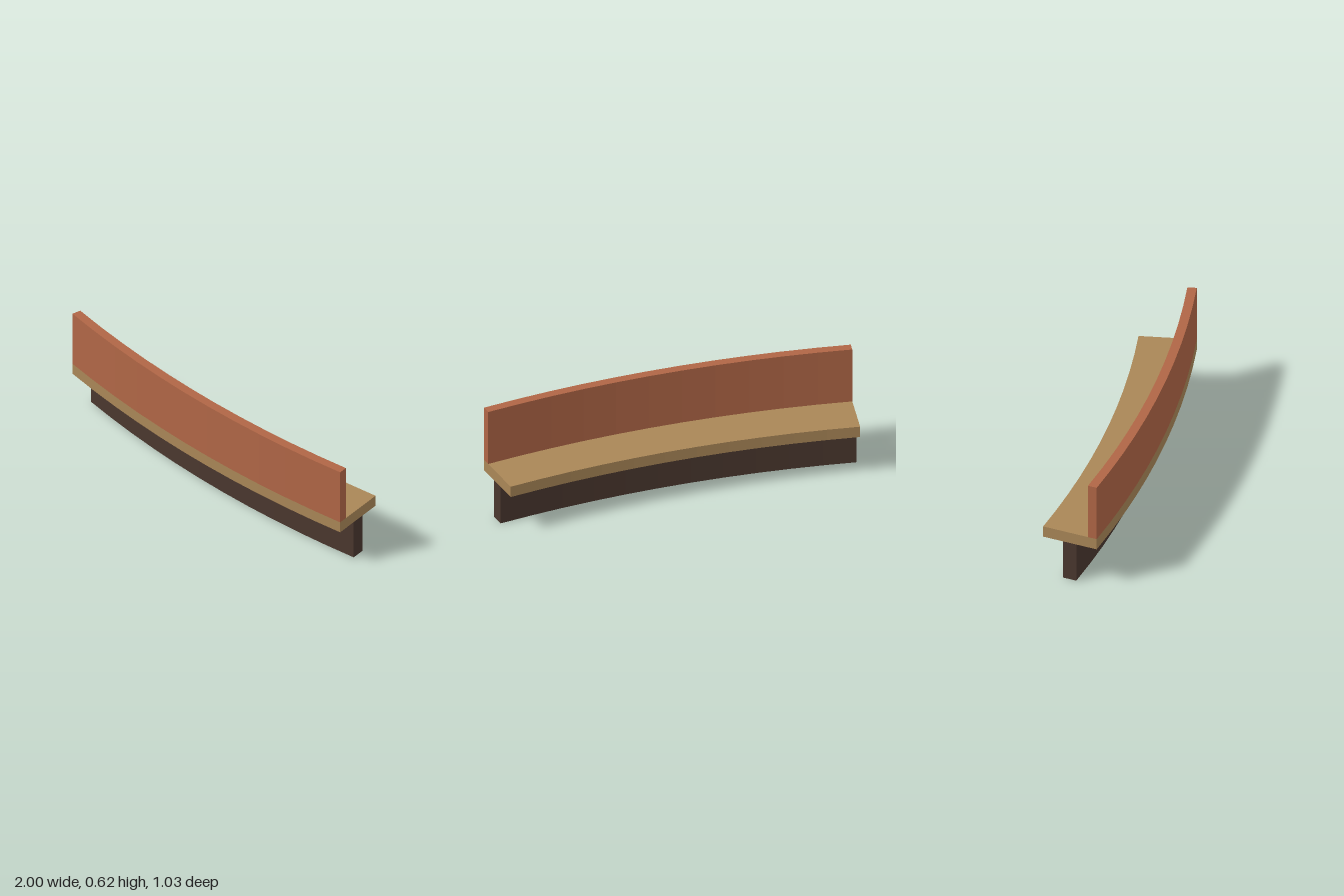
import * as THREE from 'three';

// All parts are concentric arc segments sharing one plan centre and one sweep.
const CX = 2.368, CZ = -5.96;
const START = THREE.MathUtils.degToRad(30.5);
const END = THREE.MathUtils.degToRad(12.5);
const SEGMENTS = 11;

// Points along the arc of a given radius, in plan (x, -z)
function arcPoints(radius) {
  const points = [];
  for (let i = 0; i <= SEGMENTS; i++) {
    const a = THREE.MathUtils.lerp(START, END, i / SEGMENTS);
    points.push(new THREE.Vector2(CX - radius * Math.sin(a), -(CZ + radius * Math.cos(a))));
  }
  return points;
}

// A curved slab between two radii and two heights
function curvedSlab(name, inner, outer, bottom, top, color) {
  const shape = new THREE.Shape([...arcPoints(outer), ...arcPoints(inner).reverse()]);
  const geometry = new THREE.ExtrudeGeometry(shape, { depth: top - bottom, bevelEnabled: false });
  geometry.rotateX(-Math.PI / 2).translate(0, bottom, 0);
  const mesh = new THREE.Mesh(geometry, new THREE.MeshStandardMaterial({ color, flatShading: true }));
  mesh.name = name;
  return mesh;
}

export function createModel() {
  const model = new THREE.Group();
  model.name = 'curvedBench';
  model.add(
    curvedSlab('plinth', 6.438, 6.515, 0, 0.23, 0x4a372e),
    curvedSlab('seat', 6.32, 6.635, 0.23, 0.295, 0xa98657),
    curvedSlab('backrest', 6.584, 6.635, 0.295, 0.622, 0xb06646),
  );
  return model;
}
